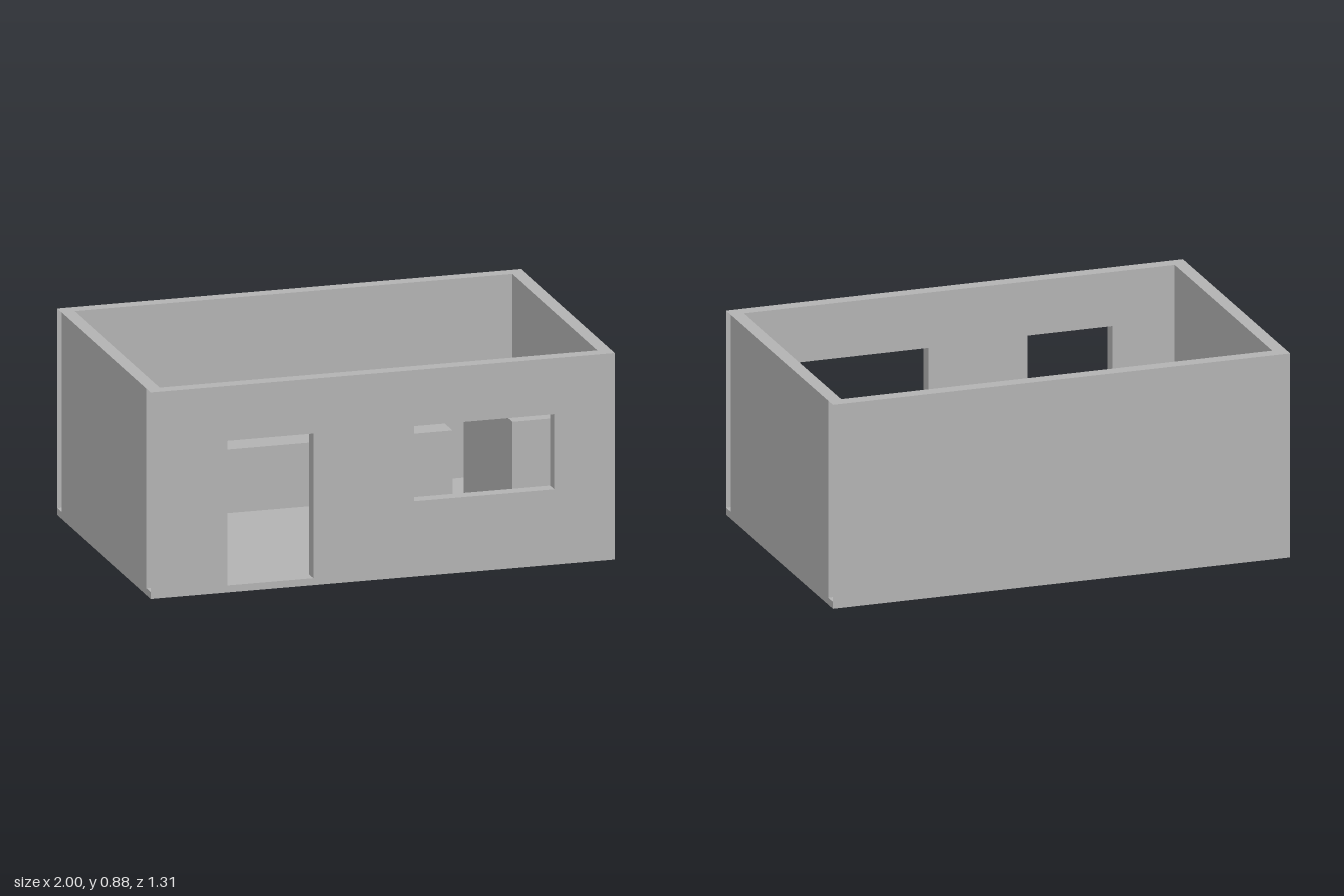
import * as THREE from 'three';

const X = 1, Z = 0.656;          // outer half sizes
const XI = 0.943, ZI = 0.597;    // inner half sizes
const FLOOR = 0.03, TOP = 0.885;

// [x0, y0, x1, y1] openings in the front wall
const openings = {
  door: [-0.67, FLOOR, -0.3, 0.65],
  window: [0.135, 0.323, 0.74, 0.645],
};

function corners(x0, y0, x1, y1) {
  return [[x0, y0], [x1, y0], [x1, y1], [x0, y1]].map(([x, y]) => new THREE.Vector2(x, y));
}

export function createModel() {
  const grey = new THREE.MeshStandardMaterial({ color: 0xb2b2b2, side: THREE.DoubleSide });
  grey.name = 'plain grey';
  const model = new THREE.Group();
  model.name = 'room';

  const add = (name, geometry, x = 0, y = 0, z = 0, parent = model) => {
    const mesh = new THREE.Mesh(geometry, grey);
    mesh.name = name;
    mesh.position.set(x, y, z);
    parent.add(mesh);
    return mesh;
  };
  const block = (name, x0, x1, y0, y1, z0, z1) =>
    add(name, new THREE.BoxGeometry(x1 - x0, y1 - y0, z1 - z0), (x0 + x1) / 2, (y0 + y1) / 2, (z0 + z1) / 2);

  // Floor slab and furniture
  block('floor', -X, X, 0, FLOOR, -Z, Z);
  block('backBench', -0.48, 0.617, FLOOR, 0.303, -0.56, -0.375);
  block('sideCabinet', 0.655, 0.9, FLOOR, 0.532, -0.343, 0.337);

  // Front wall: two skins with a door and a window, hollow and open at both ends
  const [dx0, , dx1, dy1] = openings.door;
  const outline = new THREE.Shape([
    [-X, FLOOR], [dx0, FLOOR], [dx0, dy1], [dx1, dy1], [dx1, FLOOR],
    [X, FLOOR], [X, TOP], [-X, TOP],
  ].map(([x, y]) => new THREE.Vector2(x, y)));
  outline.holes.push(new THREE.Path(corners(...openings.window).reverse()));
  const skin = new THREE.ShapeGeometry(outline);
  add('frontWallOuterSkin', skin, 0, 0, Z);
  add('frontWallInnerSkin', skin.clone().rotateY(Math.PI).scale(-1, 1, 1), 0, 0, ZI);

  // Reveals lining the openings
  const depth = Z - ZI, zMid = (Z + ZI) / 2;
  for (const [name, [x0, y0, x1, y1]] of Object.entries(openings)) {
    const w = x1 - x0, h = y1 - y0, xm = (x0 + x1) / 2, ym = (y0 + y1) / 2;
    add(name + 'JambRight', new THREE.PlaneGeometry(depth, h).rotateY(Math.PI / 2), x0, ym, zMid);
    add(name + 'JambLeft', new THREE.PlaneGeometry(depth, h).rotateY(-Math.PI / 2), x1, ym, zMid);
    add(name + 'Head', new THREE.PlaneGeometry(w, depth).rotateX(Math.PI / 2), xm, y1, zMid);
    if (y0 > FLOOR) add(name + 'Sill', new THREE.PlaneGeometry(w, depth).rotateX(-Math.PI / 2), xm, y0, zMid);
  }

  // Back wall: two plain skins, also open at both ends
  const H = TOP - FLOOR, yMid = (TOP + FLOOR) / 2;
  add('backWallOuterSkin', new THREE.PlaneGeometry(2 * X, H).rotateY(Math.PI), 0, yMid, -Z);
  add('backWallInnerSkin', new THREE.PlaneGeometry(2 * X, H), 0, yMid, -ZI);

  // Side walls between the front and back walls
  for (const s of [1, -1]) {
    const side = s > 0 ? 'left' : 'right';
    add(side + 'WallOuterSkin', new THREE.PlaneGeometry(2 * ZI, H).rotateY(s * Math.PI / 2), s * X, yMid, 0);
    add(side + 'WallInnerSkin', new THREE.PlaneGeometry(2 * ZI, H).rotateY(-s * Math.PI / 2), s * XI, yMid, 0);
  }

  // Flat rim along the tops of all four walls
  const rim = new THREE.Shape(corners(-X, -Z, X, Z));
  rim.holes.push(new THREE.Path(corners(-XI, -ZI, XI, ZI).reverse()));
  add('wallTopRim', new THREE.ShapeGeometry(rim).rotateX(-Math.PI / 2), 0, TOP, 0);

  return model;
}
